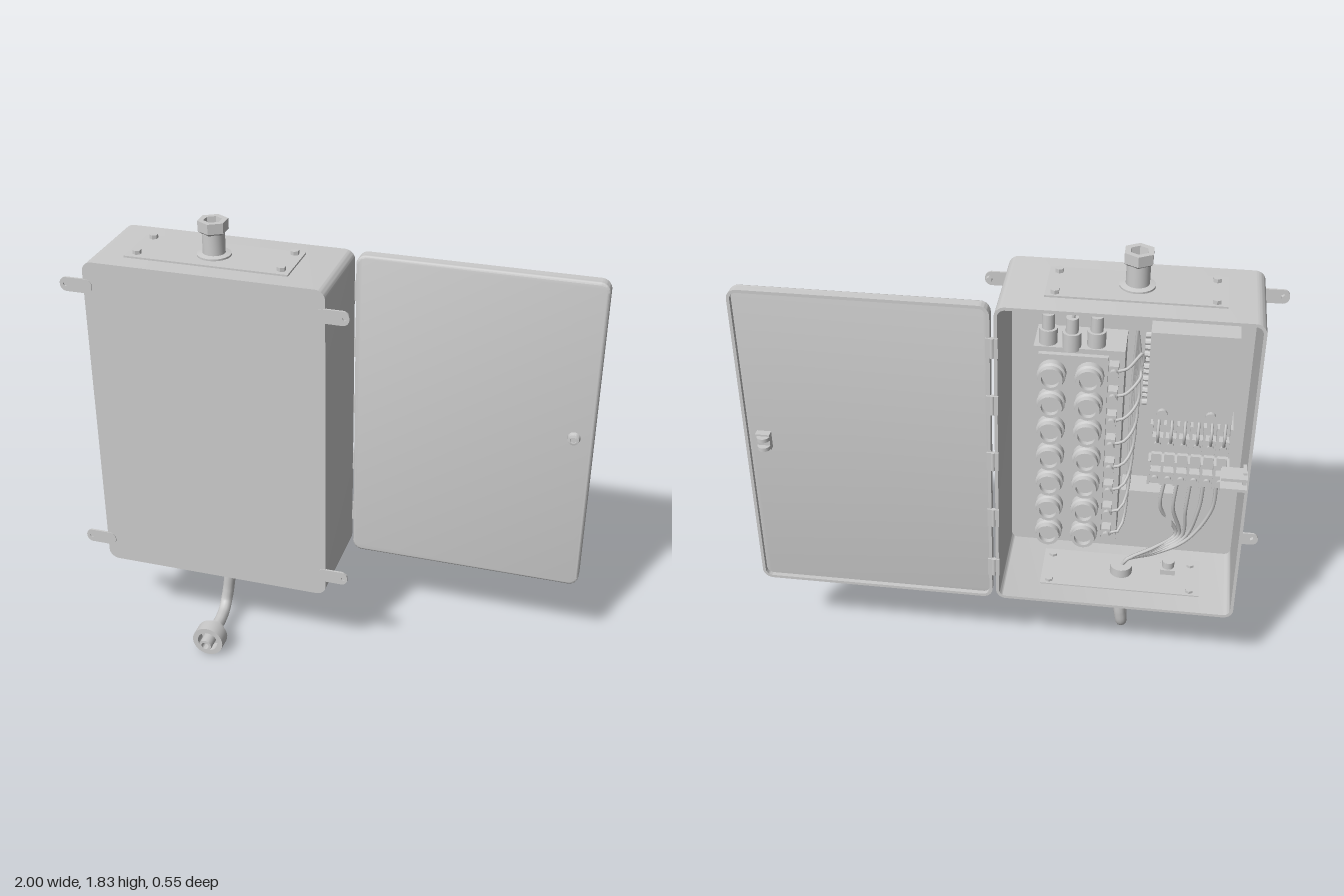
import * as THREE from 'three';
import { toCreasedNormals } from 'three/addons/utils/BufferGeometryUtils.js';

const mat = new THREE.MeshStandardMaterial({ color: 0xcccccc });
const V = (x, y, z) => new THREE.Vector3(x, y, z);

function add(parent, name, geo, x = 0, y = 0, z = 0) {
  const m = new THREE.Mesh(geo, mat);
  m.name = name;
  m.position.set(x, y, z);
  parent.add(m);
  return m;
}

// Box given by its limits on each axis
function block(parent, name, x0, x1, y0, y1, z0, z1) {
  return add(parent, name, new THREE.BoxGeometry(x1 - x0, y1 - y0, z1 - z0),
    (x0 + x1) / 2, (y0 + y1) / 2, (z0 + z1) / 2);
}

// Cylinder along an axis from a to b
function rod(parent, name, axis, r, a, b, x, y, z, sides = 20) {
  const g = new THREE.CylinderGeometry(r, r, Math.abs(b - a), sides);
  if (axis === 'z') g.rotateX(Math.PI / 2);
  if (axis === 'x') g.rotateZ(Math.PI / 2);
  const geo = sides < 10 ? toCreasedNormals(g, 0.5) : g;
  const m = add(parent, name, geo, x, y, z);
  m.position[axis] = (a + b) / 2;
  return m;
}

// Turned part with hard edges, profile of [radius, height]
function turned(parent, name, pts, sides, axis, x, y, z) {
  const g = new THREE.LatheGeometry(pts.map(p => new THREE.Vector2(p[0], p[1])), sides);
  if (axis === 'z') g.rotateX(Math.PI / 2);
  if (axis === '-z') g.rotateX(-Math.PI / 2);
  return add(parent, name, toCreasedNormals(g, 0.6), x, y, z);
}

function wire(parent, name, pts, r = 0.006, seg = 24, sides = 6) {
  return add(parent, name, new THREE.TubeGeometry(new THREE.CatmullRomCurve3(pts), seg, r, sides));
}

function roundRect(x0, x1, y0, y1, r, P = THREE.Shape) {
  const s = new P();
  s.absarc(x1 - r, y1 - r, r, 0, Math.PI / 2);
  s.absarc(x0 + r, y1 - r, r, Math.PI / 2, Math.PI);
  s.absarc(x0 + r, y0 + r, r, Math.PI, Math.PI * 1.5);
  s.absarc(x1 - r, y0 + r, r, Math.PI * 1.5, Math.PI * 2);
  s.closePath();
  return s;
}

function extrude(parent, name, shape, z, depth, extra = {}) {
  const g = new THREE.ExtrudeGeometry(shape, { depth, bevelEnabled: false, curveSegments: 8, ...extra });
  return add(parent, name, toCreasedNormals(g, 0.6), 0, 0, z);
}

function frame(x0, x1, y0, y1, r, t) {
  const s = roundRect(x0, x1, y0, y1, r);
  s.holes.push(roundRect(x0 + t, x1 - t, y0 + t, y1 - t, r - t, THREE.Path));
  return s;
}

function group(parent, name) {
  const g = new THREE.Group();
  g.name = name;
  parent.add(g);
  return g;
}

function buildCabinet(root) {
  const g = group(root, 'cabinet');
  extrude(g, 'cabinetWalls', frame(-0.905, 0.035, 0.36, 1.685, 0.04, 0.012), -0.23, 0.385);
  extrude(g, 'cabinetPanel', roundRect(-0.905, 0.035, 0.36, 1.685, 0.04), 0.153, 0.012);
  // Mounting tabs with bolts
  for (const y of [0.455, 1.587]) for (const s of [-1, 1]) {
    const c = -0.435;
    const tab = roundRect(s < 0 ? -1 : 0.0, s < 0 ? -0.87 : 0.125, y - 0.028, y + 0.028, 0.026);
    const hole = new THREE.Path();
    hole.absarc(c + s * 0.543, y, 0.008, 0, Math.PI * 2, true);
    tab.holes.push(hole);
    extrude(g, 'mountingTab', tab, 0.16, 0.008);
    rod(g, 'tabBolt', 'z', 0.012, 0.145, 0.162, c + s * 0.543, y, 0, 6);
  }
  // Gland plates on the top and bottom walls, outside and inside
  for (const [y, d] of [[1.685, 1], [0.36, -1]]) {
    block(g, 'glandPlate', -0.77, -0.13, y - 0.005, y + 0.005, -0.135, 0.085).position.y = y + d * 0.002;
    block(g, 'innerGlandPlate', -0.77, -0.13, y - 0.003, y + 0.003, -0.135, 0.085).position.y = y - d * 0.014;
    for (const x of [-0.73, -0.165]) for (const z of [-0.11, 0.05])
      rod(g, 'plateBolt', 'y', 0.017, y - d * 0.028, y + d * 0.022, x, 0, z, 6);
  }
  // Keeper plates for the latch
  for (const y of [1.015, 1.06]) block(g, 'latchKeeper', -0.897, -0.8, y - 0.006, y + 0.006, -0.275, -0.2);
  block(g, 'latchKeeperBase', -0.895, -0.88, 1.0, 1.075, -0.245, -0.19);
}

function buildDoor(root) {
  const g = group(root, 'door');
  extrude(g, 'doorPanel', roundRect(0.06, 0.985, 0.37, 1.675, 0.03), -0.202, 0.01,
    { bevelEnabled: true, bevelSize: 0.01, bevelThickness: 0.01, bevelSegments: 3 });
  extrude(g, 'doorRim', frame(0.05, 0.995, 0.36, 1.685, 0.04, 0.012), -0.23, 0.03);
  turned(g, 'lockFace', [[0, 0.018], [0.012, 0.018], [0.013, 0.022], [0.022, 0.02], [0.026, 0]].reverse(),
    20, 'z', 0.92, 1.04, -0.184);
  // Latch inside the door
  block(g, 'latchBody', 0.895, 0.95, 1.005, 1.075, -0.24, -0.2);
  for (const y of [1.02, 1.06]) rod(g, 'latchTongue', 'y', 0.025, y - 0.008, y + 0.008, 0.92, 0, -0.238);
  // Hinges
  for (const y of [0.52, 0.765, 1.03, 1.28, 1.52]) {
    rod(g, 'hingeBarrel', 'y', 0.009, y - 0.04, y + 0.04, 0.042, 0, -0.231, 12);
    block(g, 'hingeLeaf', 0.02, 0.065, y - 0.04, y + 0.04, -0.236, -0.228);
  }
}

function buildGlands(root) {
  const g = group(root, 'cableGlands');
  const x = -0.45, z = -0.02;
  turned(g, 'topGland', [[0.065, 0], [0.065, 0.012], [0.043, 0.016], [0.043, 0.1]], 24, 'y', x, 1.687, z);
  turned(g, 'topGlandNut', [[0.02, 0.06], [0.045, 0], [0.058, 0.01], [0.058, 0.05], [0.035, 0.05], [0.03, 0.005], [0, 0.005]].slice(1),
    6, 'y', x, 1.78, z);
  turned(g, 'topGlandInner', [[0, -0.06], [0.03, -0.06], [0.045, -0.03], [0.045, 0]], 20, 'y', x, 1.675, z);
  rod(g, 'bottomGland', 'y', 0.043, 0.262, 0.35, x, 0, z, 24);
  rod(g, 'bottomGlandFlange', 'y', 0.06, 0.338, 0.358, x, 0, z, 24);
  rod(g, 'bottomGlandInner', 'y', 0.045, 0.365, 0.415, x, 0, z, 20);
  // Bent cable ending in a round plug
  wire(g, 'cable', [V(-0.443, 0.28, z), V(-0.446, 0.23, z), V(-0.455, 0.16, z), V(-0.462, 0.105, -0.008),
    V(-0.46, 0.077, 0.03), V(-0.456, 0.07, 0.09), V(-0.455, 0.07, 0.17)], 0.025, 40, 12);
  rod(g, 'plugCollar', 'z', 0.042, 0.15, 0.19, -0.455, 0.07, 0, 12);
  turned(g, 'plugCup', [[0, 0], [0.065, 0], [0.065, 0.06], [0.043, 0.06], [0.043, 0.015], [0, 0.015]],
    28, 'z', -0.455, 0.07, 0.183);
  turned(g, 'plugPin', [[0.027, 0], [0.027, 0.08], [0.016, 0.08], [0.016, 0.05], [0, 0.05]],
    12, 'z', -0.455, 0.07, 0.193);
}

function buildConnectorBank(root) {
  const g = group(root, 'connectorBank');
  block(g, 'bankBody', -0.42, -0.08, 0.53, 1.41, -0.01, 0.153);
  block(g, 'bankFace', -0.36, -0.1, 0.55, 1.39, -0.03, 0);
  const cap = [[0.036, 0], [0.036, 0.025], [0.054, 0.028], [0.054, 0.055], [0.046, 0.06],
    [0.046, 0.085], [0.034, 0.085], [0.034, 0.065], [0, 0.065]];
  for (let i = 0; i < 7; i++) for (const x of [-0.155, -0.295])
    turned(g, 'connector', cap, 20, '-z', x, 0.605 + i * 0.121, -0.028).rotation.z = i;
  // Terminal strip and wiring alongside the connectors
  for (let i = 0; i < 8; i++) {
    const y = 0.59 + i * 0.108;
    block(g, 'terminal', -0.4, -0.365, y - 0.025, y + 0.025, -0.055, 0);
    rod(g, 'terminalScrew', 'z', 0.015, -0.07, -0.05, -0.383, y, 0, 10);
    wire(g, 'terminalWire', [V(-0.39, y, -0.045), V(-0.43, y + 0.01, -0.04), V(-0.45 - i * 0.005, y + 0.06, 0),
      V(-0.45 - i * 0.005, 1.2 + i * 0.02, 0.02), V(-0.46, 1.5, 0)]);
  }
  // Tall plugs above the bank
  for (const [x, z] of [[-0.13, 0.03], [-0.22, 0.01], [-0.31, 0.03]]) {
    rod(g, 'upperPlug', 'y', 0.035, 1.4, 1.47, x, 0, z, 16);
    rod(g, 'upperPlugTop', 'y', 0.024, 1.46, 1.53, x, 0, z, 16);
    wire(g, 'upperWire', [V(x, 1.51, z), V(x - 0.02, 1.58, z), V(-0.38, 1.59, 0), V(-0.445, 1.64, -0.02)], 0.008);
  }
}

function buildControls(root) {
  const g = group(root, 'controls');
  block(g, 'controlUnit', -0.83, -0.51, 1.15, 1.52, -0.047, 0.153);
  for (const x of [-0.57, -0.75]) {
    rod(g, 'unitScrew', 'z', 0.02, -0.062, -0.045, x, 1.18, 0, 12);
  }
  for (let i = 0; i < 6; i++) for (const z of [-0.01, 0.04])
    rod(g, 'sidePin', 'x', 0.012, -0.515, -0.49, 0, 1.2 + i * 0.052, z, 8);
  // Two stepped terminal rows with dividers, screws and wires
  [[1.05, 0.13], [0.89, 0.11]].forEach(([y, h], row) => {
    block(g, 'terminalBase', -0.84, -0.53, y - h / 2, y + h / 2, 0.02, 0.153);
    block(g, 'terminalStep', -0.84, -0.53, y - h / 2, y, -0.02, 0.03);
    for (let i = 0; i < 7; i++) {
      const x = -0.835 + i * 0.05;
      block(g, 'terminalDivider', x - 0.005, x + 0.005, y - h / 2, y + h / 2, -0.03, 0.05);
      if (i === 6) continue;
      rod(g, 'rowScrew', 'z', 0.014, -0.032, -0.015, x + 0.025, y - 0.03, 0, 10);
      if (row === 0) wire(g, 'rowWire', [V(x + 0.025, y - 0.03, -0.02), V(x + 0.025, y + 0.03, -0.045),
        V(x + 0.025, y + 0.08, -0.02), V(x + 0.025, y + 0.11, 0.03)]);
    }
  });
  // Relay and the rail carrying it
  block(g, 'relay', -0.64, -0.43, 0.6, 0.76, 0.02, 0.12);
  block(g, 'relayBase', -0.68, -0.43, 0.63, 0.74, 0.11, 0.153);
  // Loose wires dropping into the lower gland
  for (let i = 0; i < 5; i++) {
    const x = -0.8 + i * 0.05;
    wire(g, 'supplyWire', [V(x, 0.85, 0), V(x + 0.01, 0.7, 0.01), V(-0.7 + i * 0.01, 0.53, 0.02 + i * 0.01),
      V(-0.58, 0.46 + i * 0.008, 0.01), V(-0.47, 0.44, -0.02), V(-0.45, 0.4, -0.02)], 0.008);
  }
  // Earth stud on the floor
  block(g, 'earthLug', -0.67, -0.61, 0.372, 0.4, -0.02, 0.04);
  rod(g, 'earthStud', 'y', 0.025, 0.39, 0.43, -0.64, 0, 0.01, 12);
}

export function createModel() {
  const root = new THREE.Group();
  root.name = 'electricalCabinet';
  buildCabinet(root);
  buildDoor(root);
  buildGlands(root);
  buildConnectorBank(root);
  buildControls(root);
  return root;
}
